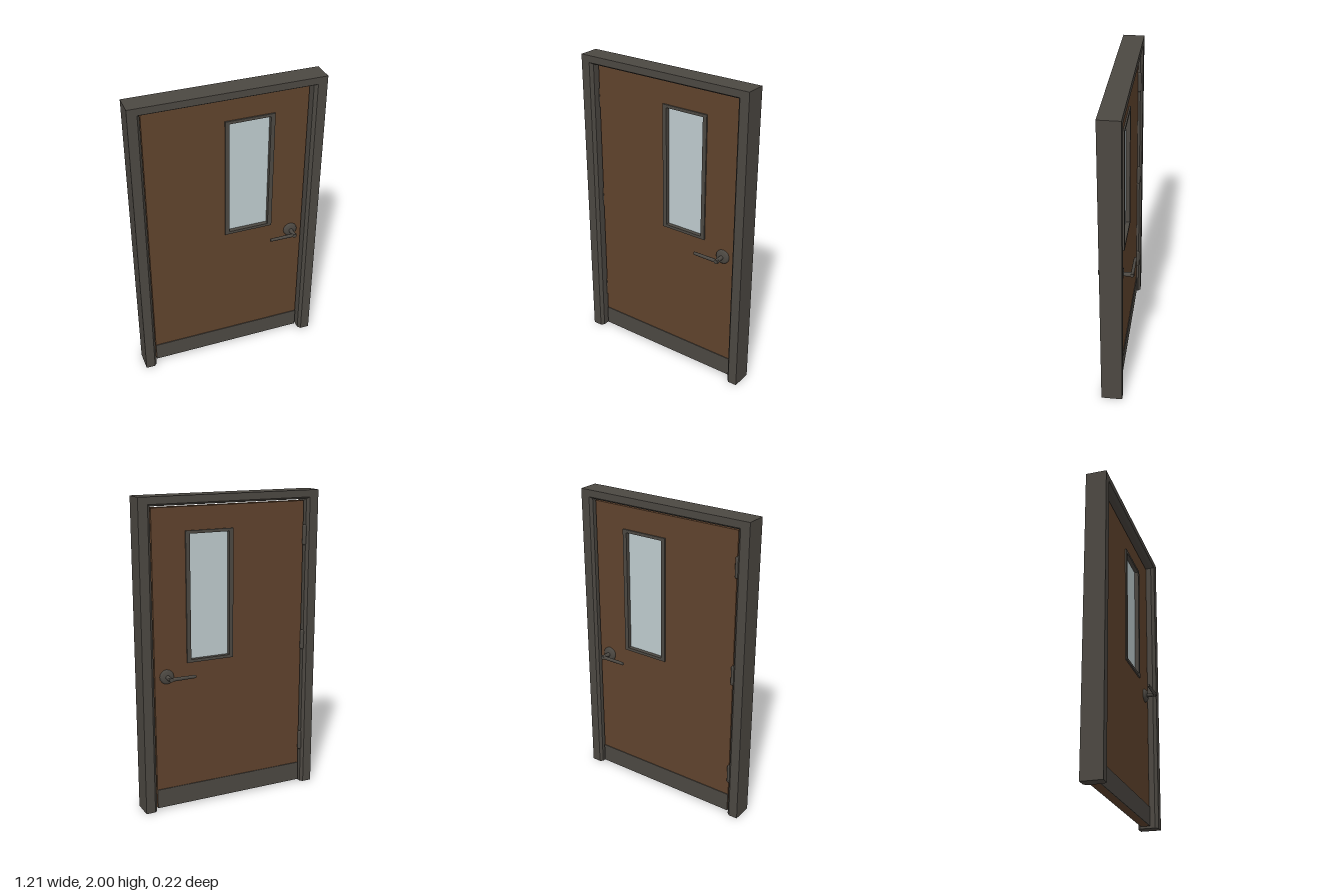
import * as THREE from 'three';

export function createModel() {
  const model = new THREE.Group();
  model.name = 'door';
  const metal = new THREE.MeshStandardMaterial({ color: 0x4c4842 });
  metal.name = 'darkMetal';
  const wood = new THREE.MeshStandardMaterial({ color: 0x60432d });
  wood.name = 'brownWood';
  const pane = new THREE.MeshStandardMaterial({ color: 0xbfcccf });
  pane.name = 'paleGlass';

  function add(name, geometry, material, x = 0, y = 0, z = 0, parent = model) {
    const mesh = new THREE.Mesh(geometry, material);
    mesh.name = name;
    mesh.position.set(x, y, z);
    parent.add(mesh);
    return mesh;
  }

  const rect = (x0, y0, x1, y1, Type = THREE.Shape) => new Type([
    new THREE.Vector2(x0, y0), new THREE.Vector2(x1, y0),
    new THREE.Vector2(x1, y1), new THREE.Vector2(x0, y1)]);

  // Rectangular slab with a rectangular opening, centred on z = 0
  function slab(outer, hole, depth) {
    const shape = rect(...outer);
    shape.holes.push(rect(...hole, THREE.Path));
    return new THREE.ExtrudeGeometry(shape, { depth, bevelEnabled: false }).translate(0, 0, -depth / 2);
  }

  // Door casing: one chamfered profile [inward offset, z] mitred round the opening
  function casing() {
    const profile = [[0, 0.08], [0, -0.055], [0.06, -0.055], [0.077, -0.04], [0.077, 0.06], [0.06, 0.08]];
    const W = 0.607;
    const drop = 0.74;
    const stations = [
      ([d, z]) => [-W + d, 0, z],
      ([d, z]) => [-W + d, 2 - d * drop, z],
      ([d, z]) => [W - d, 2 - d * drop, z],
      ([d, z]) => [W - d, 0, z],
    ].map((f) => profile.map(f));
    const positions = [];
    const tri = (a, b, c) => positions.push(...a, ...b, ...c);
    const n = profile.length;
    for (let s = 0; s < 3; s++) {
      for (let i = 0; i < n; i++) {
        const j = (i + 1) % n;
        const a = stations[s][i], b = stations[s][j];
        const c = stations[s + 1][j], d = stations[s + 1][i];
        tri(a, c, b);
        tri(a, d, c);
      }
    }
    // Feet of the two jambs
    for (let i = 1; i < n - 1; i++) {
      tri(stations[0][0], stations[0][i], stations[0][i + 1]);
      tri(stations[3][0], stations[3][i + 1], stations[3][i]);
    }
    const geometry = new THREE.BufferGeometry();
    geometry.setAttribute('position', new THREE.Float32BufferAttribute(positions, 3));
    geometry.computeVertexNormals();
    return geometry;
  }
  add('doorFrame', casing(), metal);

  // Door leaf with its window
  add('doorLeaf', slab([-0.518, 0.012, 0.518, 1.932], [0, 0.975, 0.287, 1.775], 0.052), wood);
  add('windowFrame', slab([-0.016, 0.963, 0.302, 1.788], [0.011, 0.982, 0.275, 1.769], 0.07), metal);
  add('windowGlass', new THREE.BoxGeometry(0.27, 0.792, 0.016), pane, 0.143, 1.3755, 0);

  // Kick plate and lever handle on each side
  for (const side of [1, -1]) {
    const label = side > 0 ? 'front' : 'back';
    add(label + 'KickPlate', new THREE.BoxGeometry(1.036, 0.126, 0.006), metal, 0, 0.075, side * 0.028);

    const handle = new THREE.Group();
    handle.name = label + 'Handle';
    handle.position.set(0.44, 0.89, 0);
    if (side < 0) handle.rotation.x = Math.PI;
    model.add(handle);

    const rose = new THREE.LatheGeometry([[0.046, 0.024], [0.046, 0.034], [0.036, 0.043], [0, 0.046]]
      .map(([r, h]) => new THREE.Vector2(r, h)), 16).rotateX(Math.PI / 2);
    add('rose', rose, metal, 0, 0, 0, handle);
    add('spindle', new THREE.CylinderGeometry(0.0135, 0.0135, 0.066, 14).rotateX(Math.PI / 2),
      metal, 0, 0, 0.075, handle);
    // Tapered grip, flattened front to back
    const grip = new THREE.CylinderGeometry(0.0105, 0.0125, 0.178, 12).rotateZ(Math.PI / 2).scale(1, 1, 0.85);
    add('grip', grip, metal, -0.075, 0, 0.099, handle);
    add('gripTip', new THREE.SphereGeometry(0.0105, 12, 8).scale(0.6, 1, 0.85), metal, -0.164, 0, 0.099, handle);
    add('elbow', new THREE.CylinderGeometry(0.0135, 0.0135, 0.02, 14).rotateX(Math.PI / 2),
      metal, 0, 0, 0.1, handle);
  }

  // Three hinges on the back
  for (const y of [0.305, 1.02, 1.715]) {
    const hinge = new THREE.Group();
    hinge.name = 'hinge';
    hinge.position.set(-0.524, y, 0);
    model.add(hinge);
    add('knuckle', new THREE.CapsuleGeometry(0.013, 0.108, 4, 12), metal, 0, 0, -0.034, hinge);
    add('hingeLeaf', new THREE.BoxGeometry(0.006, 0.124, 0.05), metal, -0.003, 0, -0.005, hinge);
  }
  return model;
}
